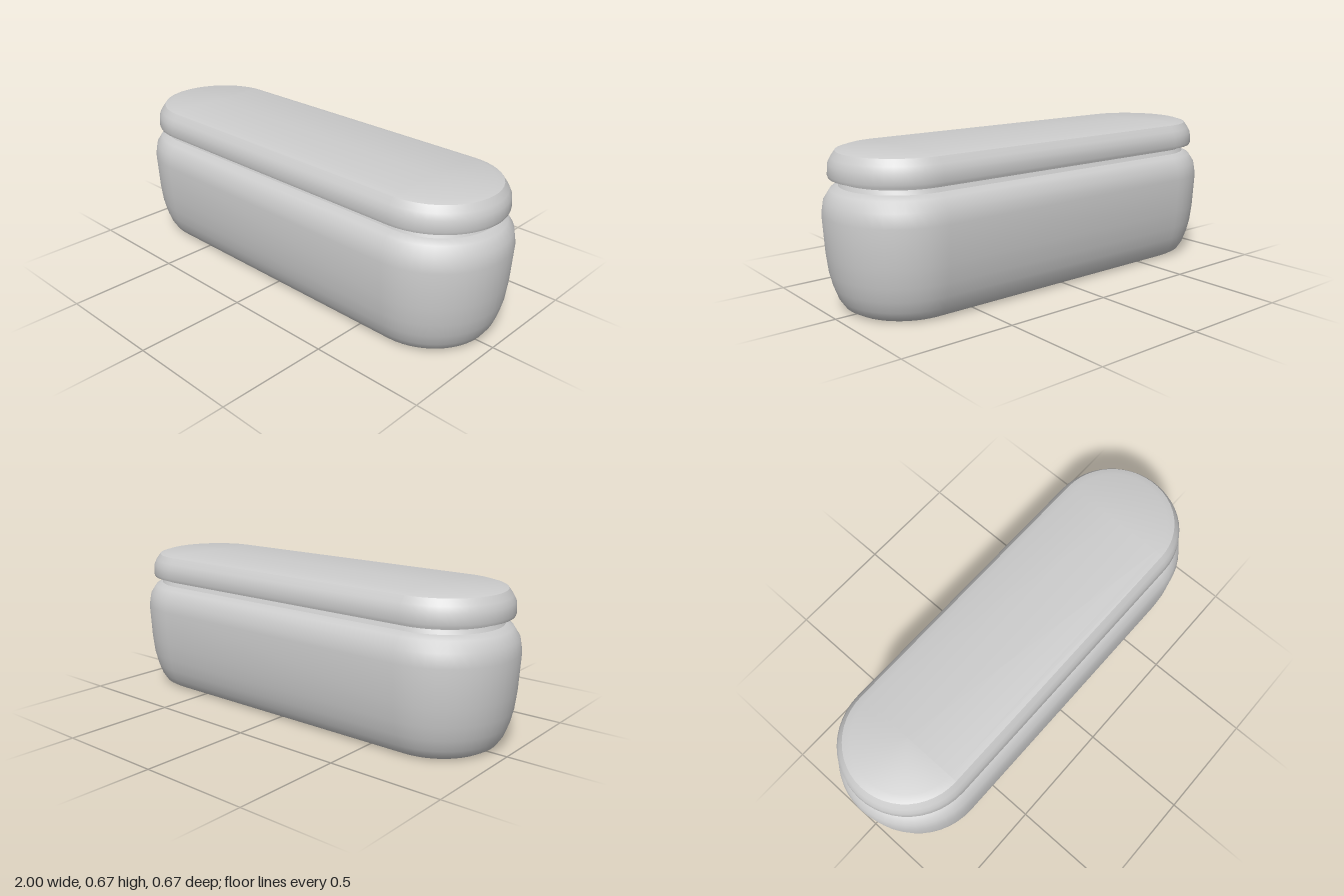
import * as THREE from 'three';
import { toCreasedNormals } from 'three/addons/utils/BufferGeometryUtils.js';

const HALF_STRAIGHT = 0.667; // centre of each rounded end
const ARC_STEPS = 24;

// Directions around a stadium outline: two half circles joined by straight sides
function stadiumOutline() {
  const ring = [];
  for (const side of [1, -1]) {
    for (let i = 0; i <= ARC_STEPS; i++) {
      const a = -Math.PI / 2 + (Math.PI * i) / ARC_STEPS;
      ring.push({ cx: side * HALF_STRAIGHT, dx: side * Math.cos(a), dz: side * Math.sin(a) });
    }
  }
  return ring;
}

// Sweeps a [radius, height] profile, listed bottom to top, around the stadium
function stadiumLathe(name, profile, material) {
  const ring = stadiumOutline();
  const n = ring.length;
  const positions = [];
  const index = [];
  for (const [r, y] of profile) {
    for (const p of ring) positions.push(p.cx + r * p.dx, y, r * p.dz);
  }
  for (let j = 0; j < profile.length - 1; j++) {
    for (let i = 0; i < n; i++) {
      const k = (i + 1) % n;
      const a = j * n + i, b = j * n + k, c = a + n, d = b + n;
      const straight = ring[i].cx !== ring[k].cx;
      // Skip triangles that collapse on the centre line
      if (profile[j + 1][0] > 0 || straight) index.push(a, c, d);
      if (profile[j][0] > 0 || straight) index.push(a, d, b);
    }
  }
  const geometry = new THREE.BufferGeometry();
  geometry.setAttribute('position', new THREE.Float32BufferAttribute(positions, 3));
  geometry.setIndex(index);
  const mesh = new THREE.Mesh(toCreasedNormals(geometry, 0.62), material);
  mesh.name = name;
  return mesh;
}

export function createModel() {
  const group = new THREE.Group();
  group.name = 'lozengeCase';
  const material = new THREE.MeshStandardMaterial({ color: 0xcccccc });

  // Bulging lower body, closed underneath and at the shoulder
  group.add(stadiumLathe('body', [
    [0, 0], [0.235, 0], [0.262, 0.016], [0.284, 0.05], [0.302, 0.1], [0.316, 0.16],
    [0.325, 0.24], [0.333, 0.4], [0.323, 0.457], [0.295, 0.5], [0.262, 0.515], [0, 0.515],
  ], material));

  // Recessed neck between body and lid
  group.add(stadiumLathe('neck', [
    [0.262, 0.515], [0.254, 0.533], [0.257, 0.544],
  ], material));

  // Rounded lid with a flat top
  group.add(stadiumLathe('lid', [
    [0, 0.543], [0.257, 0.543], [0.299, 0.549], [0.303, 0.562], [0.299, 0.606],
    [0.287, 0.63], [0.268, 0.657], [0.235, 0.667], [0, 0.667],
  ], material));

  return group;
}
